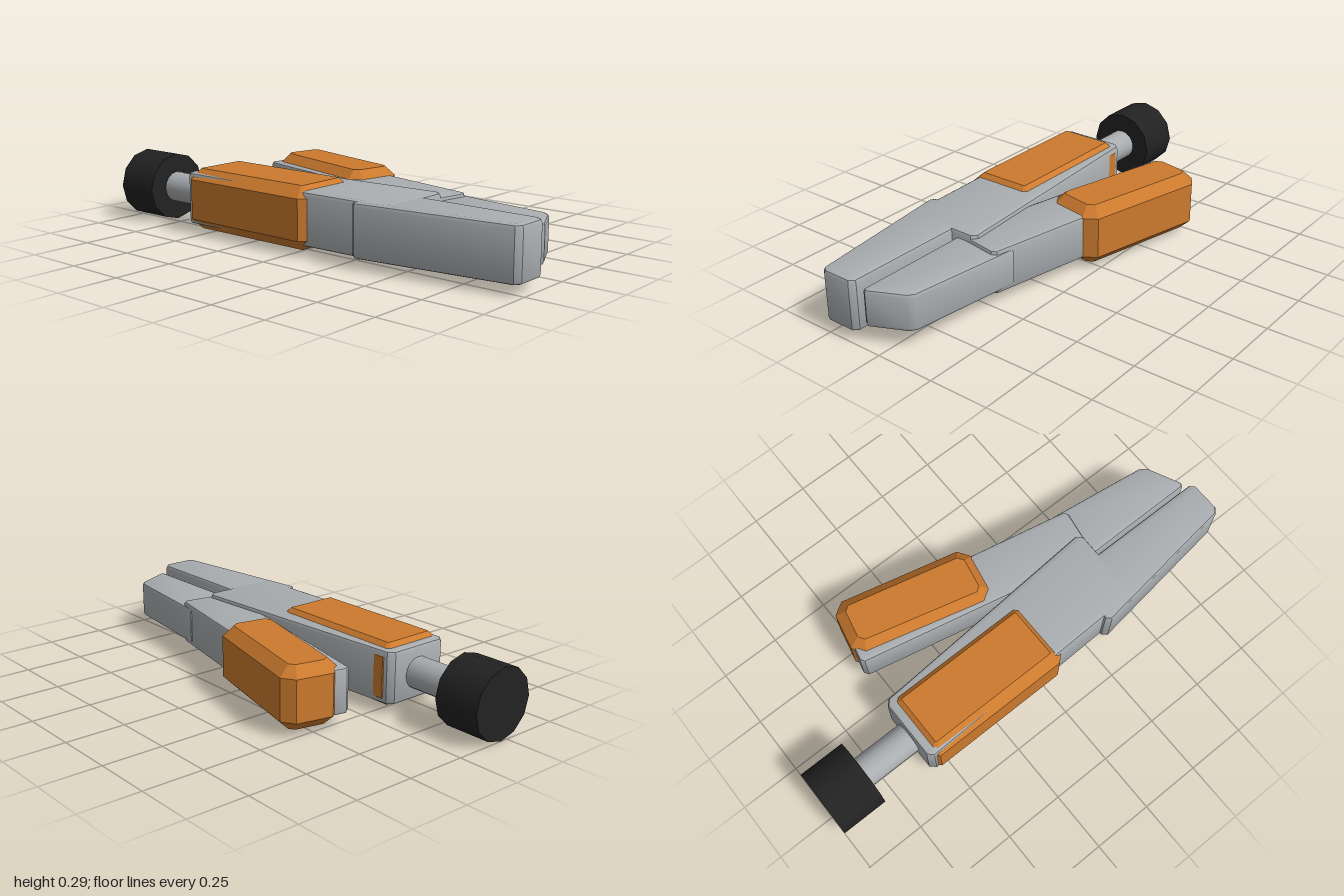
import * as THREE from 'three';
import { toCreasedNormals } from 'three/addons/utils/BufferGeometryUtils.js';

const steel = new THREE.MeshStandardMaterial({ name: 'steel', color: 0xa9adb0 });
const orange = new THREE.MeshStandardMaterial({ name: 'orange grip', color: 0xcc7a2e });
const black = new THREE.MeshStandardMaterial({ name: 'black knob', color: 0x222222 });

// Cuts every corner of a closed outline by a fixed distance
function cutCorners(points, cut) {
  const out = [];
  points.forEach((p, i) => {
    const prev = points[(i + points.length - 1) % points.length];
    const next = points[(i + 1) % points.length];
    for (const q of [prev, next]) {
      const d = Math.hypot(q[0] - p[0], q[1] - p[1]);
      out.push([p[0] + ((q[0] - p[0]) * cut) / d, p[1] + ((q[1] - p[1]) * cut) / d]);
    }
  });
  return out;
}

// Bevelled slab from an outline in plan (x, z), standing from y0 to y1
function slab(name, outline, y0, y1, bevel, cut, material, segments = 1) {
  const shape = new THREE.Shape(cutCorners(outline, cut).map(([x, z]) => new THREE.Vector2(x, -z)));
  const geometry = new THREE.ExtrudeGeometry(shape, {
    depth: y1 - y0 - 2 * bevel,
    bevelEnabled: true,
    bevelThickness: bevel,
    bevelSize: bevel,
    bevelOffset: -bevel,
    bevelSegments: segments,
  });
  geometry.rotateX(-Math.PI / 2);
  geometry.translate(0, y0 + bevel, 0);
  const mesh = new THREE.Mesh(toCreasedNormals(geometry, 0.5), material);
  mesh.name = name;
  return mesh;
}

// Cylinder lying along x, with a corner at the top
function rod(name, x0, x1, radius, sides, material) {
  const geometry = new THREE.CylinderGeometry(radius, radius, x1 - x0, sides);
  geometry.rotateZ(Math.PI / 2);
  const mesh = new THREE.Mesh(geometry, material);
  mesh.position.set((x0 + x1) / 2, 0.145, 0.216);
  mesh.name = name;
  return mesh;
}

export function createModel() {
  const model = new THREE.Group();
  model.name = 'lockingPliers';

  // Adjusting screw
  model.add(rod('adjustingKnob', -1, -0.805, 0.145, 12, black));
  model.add(rod('screwShaft', -0.81, -0.5, 0.065, 16, steel));

  // Fixed handle, its grip and its jaw
  const fixedSide = new THREE.Group();
  fixedSide.name = 'fixedSide';
  fixedSide.add(
    slab('fixedHandle', [[-0.58, 0.07], [0.478, -0.002], [0.475, 0.335], [-0.58, 0.362]],
      0.039, 0.257, 0.016, 0.022, steel, 2),
    slab('fixedGrip', [[-0.568, 0.064], [0.09, 0.064], [0.09, 0.371], [-0.568, 0.371]],
      0.02, 0.275, 0.044, 0.03, orange),
    slab('fixedJaw', [[0.315, 0.115], [0.993, 0.118], [0.993, 0.28], [0.315, 0.368]],
      0.04, 0.255, 0.016, 0.02, steel, 2),
  );

  // Moving handle, its grip and its jaw
  const movingSide = new THREE.Group();
  movingSide.name = 'movingSide';
  movingSide.add(
    slab('movingHandle', [[-0.555, -0.115], [-0.53, -0.23], [0.06, -0.209], [0.505, -0.118], [0.475, 0.06], [0.25, 0.06]],
      0.055, 0.24, 0.014, 0.016, steel, 2),
    slab('movingGrip', [[-0.558, -0.15], [-0.506, -0.387], [0.08, -0.247], [0.032, 0]],
      0.02, 0.275, 0.042, 0.045, orange),
    slab('movingJaw', [[0.4, -0.142], [0.895, -0.077], [0.978, 0.097], [0.4, 0.097]],
      0.07, 0.225, 0.014, 0.018, steel, 2),
  );

  model.add(fixedSide, movingSide);
  return model;
}
